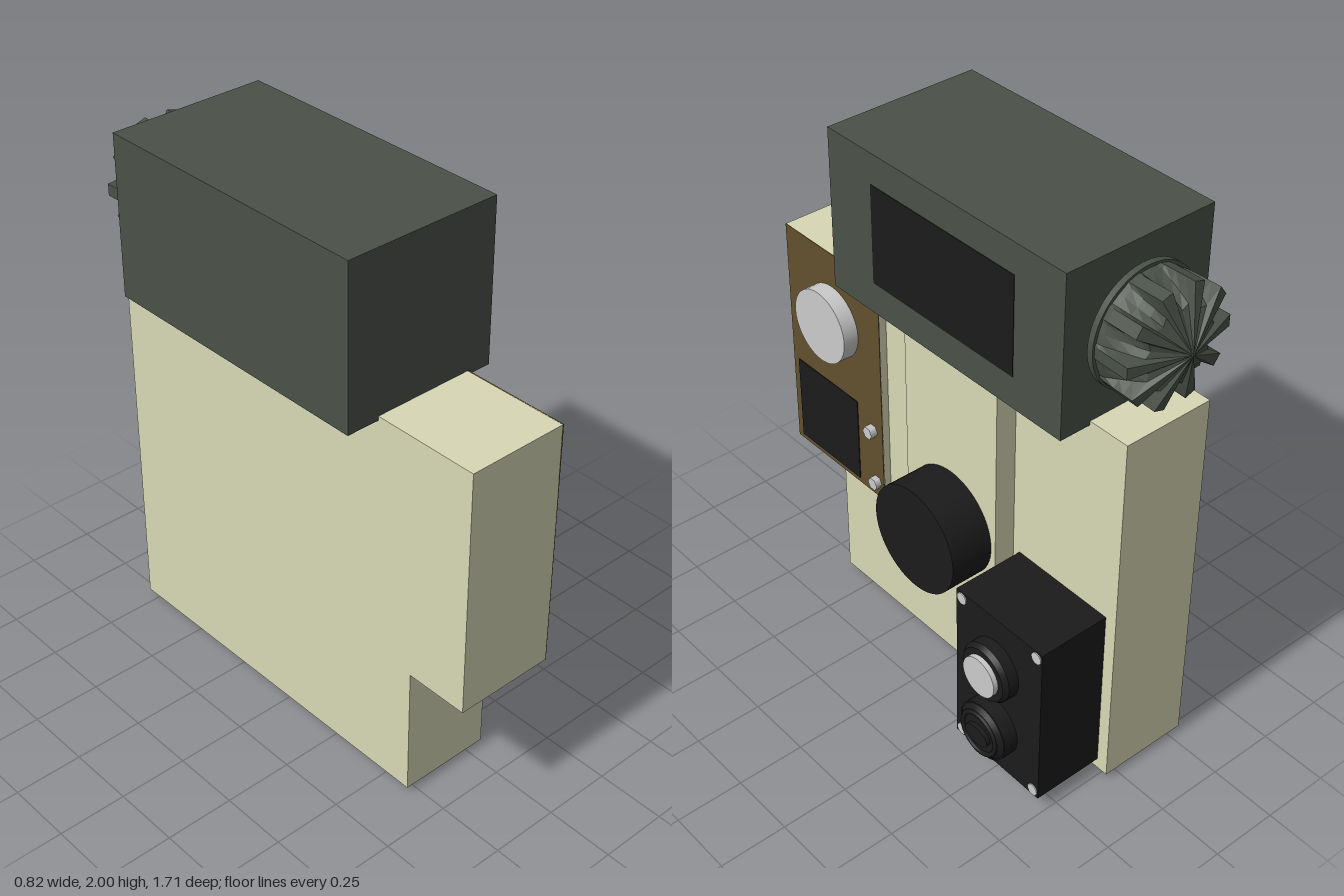
import * as THREE from 'three';

const mat = (color) => new THREE.MeshStandardMaterial({ color });
const cream = mat(0xd8d8b6), darkGreen = mat(0x4a5148), brown = mat(0x62502f);
const black = mat(0x1b1b1b), grey = mat(0xcccccc);

// Box from min and max corners
function box(name, material, [x0, y0, z0], [x1, y1, z1]) {
  const mesh = new THREE.Mesh(new THREE.BoxGeometry(x1 - x0, y1 - y0, z1 - z0), material);
  mesh.position.set((x0 + x1) / 2, (y0 + y1) / 2, (z0 + z1) / 2);
  mesh.name = name;
  return mesh;
}

// Disc whose axis runs along x, from x0 to x1
function disc(name, material, x0, x1, y, z, r, sides = 40, rTop = r) {
  const geo = new THREE.CylinderGeometry(rTop, r, x1 - x0, sides).rotateZ(-Math.PI / 2);
  const mesh = new THREE.Mesh(geo, material);
  mesh.position.set((x0 + x1) / 2, y, z);
  mesh.name = name;
  return mesh;
}

// Ring whose axis runs along x
function ring(name, material, x, y, z, r, tube) {
  const mesh = new THREE.Mesh(new THREE.TorusGeometry(r, tube, 8, 40).rotateY(Math.PI / 2), material);
  mesh.position.set(x, y, z);
  mesh.name = name;
  return mesh;
}

// Fluted knob core: ribs keep their radius while the valleys sweep in to the tip
function flutedGeometry(ribs) {
  const rows = [ // height, rib radius, valley radius
    [0, 0.205, 0.2], [0.02, 0.207, 0.195], [0.06, 0.208, 0.172], [0.1, 0.209, 0.15],
    [0.138, 0.21, 0.125], [0.167, 0.105, 0.062], [0.195, 0.001, 0.001],
  ];
  const steps = [[-0.16, 1], [0.16, 1], [0.24, 0.2], [0.5, 0], [0.76, 0.2]]; // angle, rib share
  const pos = [], index = [], n = ribs * steps.length;
  for (const [h, outer, inner] of rows)
    for (let i = 0; i < ribs; i++)
      for (const [t, share] of steps) {
        const a = ((i + t) / ribs) * Math.PI * 2, r = inner + (outer - inner) * share;
        pos.push(r * Math.cos(a), r * Math.sin(a), h);
      }
  for (let j = 0; j < rows.length - 1; j++)
    for (let i = 0; i < n; i++) {
      const a = j * n + i, b = j * n + ((i + 1) % n);
      index.push(a, b, b + n, a, b + n, a + n);
    }
  const geo = new THREE.BufferGeometry();
  geo.setAttribute('position', new THREE.Float32BufferAttribute(pos, 3));
  geo.setIndex(index);
  const flat = geo.toNonIndexed();
  flat.computeVertexNormals();
  return flat;
}

function rearKnob() {
  const knob = new THREE.Group();
  knob.name = 'rearKnob';
  const addDisc = (name, material, r, z0, z1) => {
    const mesh = new THREE.Mesh(new THREE.CylinderGeometry(r, r, z1 - z0, 48).rotateX(Math.PI / 2), material);
    mesh.position.z = (z0 + z1) / 2;
    mesh.name = name;
    knob.add(mesh);
  };
  addDisc('knobSpacer', grey, 0.175, 0, 0.012);
  addDisc('knobFlange', darkGreen, 0.212, 0.01, 0.032);
  const grip = new THREE.Mesh(flutedGeometry(10), darkGreen);
  grip.name = 'knobGrip';
  grip.position.z = 0.032;
  knob.add(grip);
  knob.rotation.y = Math.PI;
  knob.position.set(-0.12, 1.71, -0.627);
  return knob;
}

function controlBox() {
  const group = new THREE.Group();
  group.name = 'controlBox';
  group.add(box('controlHousing', black, [0.055, 0.065, -0.74], [0.325, 0.715, -0.33]));
  for (const y of [0.09, 0.69])
    for (const z of [-0.715, -0.358])
      group.add(disc('cornerScrew', grey, 0.32, 0.329, y, z, 0.022, 16));
  // Push button
  const z = -0.525;
  group.add(
    disc('buttonCollar', black, 0.325, 0.365, 0.51, z, 0.11),
    disc('buttonBezel', black, 0.365, 0.382, 0.51, z, 0.11, 40, 0.098),
    disc('pushButton', grey, 0.38, 0.4, 0.51, z, 0.075));
  // Turn switch with an oval grip
  group.add(
    disc('switchCollar', black, 0.325, 0.38, 0.25, z, 0.11),
    disc('switchBezel', black, 0.38, 0.395, 0.25, z, 0.105, 40, 0.09),
    ring('switchRing', black, 0.395, 0.25, z, 0.08, 0.009));
  const grip = disc('switchGrip', black, 0.39, 0.41, 0.25, z, 0.055);
  grip.scale.y = 0.65;
  group.add(grip);
  return group;
}

export function createModel() {
  const model = new THREE.Group();
  model.name = 'controlUnit';

  // Housing
  model.add(
    box('mainBody', cream, [-0.29, 0.025, -0.785], [0.055, 1.43, 0.62]),
    box('frontBody', cream, [-0.29, 0.52, 0.35], [0.083, 1.43, 0.855]),
    box('raisedPlate', cream, [0.05, 0.52, -0.3], [0.135, 1.43, 0.15]));

  // Head with display and fluted knob
  model.add(
    box('head', darkGreen, [-0.412, 1.415, -0.627], [0.175, 2, 0.46]),
    box('display', black, [0.17, 1.53, -0.415], [0.177, 1.89, 0.25]),
    rearKnob());

  // Instrument panel
  model.add(
    box('instrumentPanel', brown, [0.08, 0.52, 0.35], [0.086, 1.43, 0.855]),
    box('panelWindow', black, [0.082, 0.54, 0.485], [0.089, 0.88, 0.825]),
    disc('dial', grey, 0.086, 0.145, 1.16, 0.605, 0.138),
    disc('panelBolt', grey, 0.086, 0.113, 0.803, 0.402, 0.025, 6),
    disc('panelBolt', grey, 0.086, 0.11, 0.583, 0.387, 0.025, 6));

  // Large side knob, control box and bottom bolt
  model.add(disc('sideKnob', black, 0.135, 0.298, 0.74, -0.08, 0.2, 64), controlBox());
  const bolt = new THREE.Mesh(new THREE.CylinderGeometry(0.026, 0.026, 0.03, 6), grey);
  bolt.name = 'bottomBolt';
  bolt.position.set(-0.12, 0.015, -0.08);
  model.add(bolt);
  return model;
}
